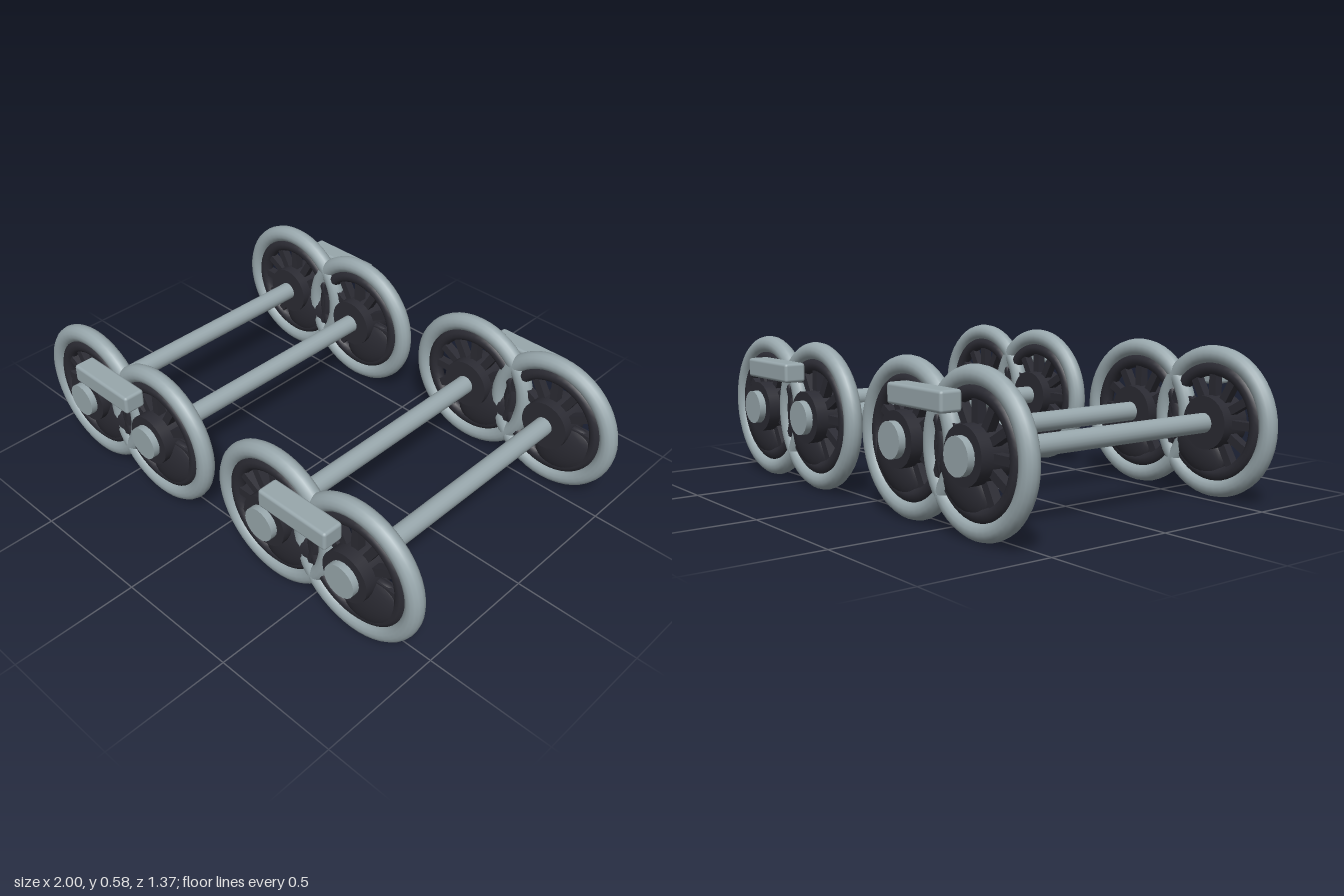
import * as THREE from 'three';
import { RoundedBoxGeometry } from 'three/addons/geometries/RoundedBoxGeometry.js';

const steel = new THREE.MeshStandardMaterial({ name: 'pale steel', color: 0x98a7ac });
const iron = new THREE.MeshStandardMaterial({ name: 'dark iron', color: 0x2b2b33 });

const R = 0.29; // wheel radius, also axle height
const WHEEL_Z = 0.562;
const SPOKES = 12;

function add(parent, name, geometry, material, x = 0, y = 0, z = 0) {
  const mesh = new THREE.Mesh(geometry, material);
  mesh.name = name;
  mesh.position.set(x, y, z);
  parent.add(mesh);
  return mesh;
}

// Cylinder lying along z
const rod = (r, length, sides) =>
  new THREE.CylinderGeometry(r, r, length, sides).rotateX(Math.PI / 2);

const geo = {
  tyre: new THREE.TorusGeometry(R - 0.035, 0.035, 14, 48),
  rim: new THREE.TorusGeometry(0.202, 0.028, 10, 48),
  hub: rod(0.102, 0.126, 24),
  cap: rod(0.067, 0.05, 20),
  spoke: new THREE.BoxGeometry(0.13, 0.032, 0.035).translate(0.135, 0, 0),
  weight: new THREE.SphereGeometry(1, 24, 16).scale(0.15, 0.1, 0.043),
  axle: rod(0.038, 1.04, 20),
  coupling: new RoundedBoxGeometry(0.318, 0.075, 0.087, 2, 0.012),
};

// Spoked wheel; side is the direction of its outer face along z
function makeWheel(side) {
  const wheel = new THREE.Group();
  wheel.name = 'wheel';
  add(wheel, 'tyre', geo.tyre, steel);
  add(wheel, 'innerRim', geo.rim, iron);
  add(wheel, 'hub', geo.hub, iron, 0, 0, side * 0.003);
  add(wheel, 'hubCap', geo.cap, steel, 0, 0, side * 0.068);
  for (let i = 0; i < SPOKES; i++) {
    add(wheel, 'spoke', geo.spoke, iron).rotation.z = (i / SPOKES) * Math.PI * 2;
  }
  // Oval counterweight low on one side
  add(wheel, 'counterweight', geo.weight, iron, 0.076, -0.099, 0).rotation.z = 0.65;
  return wheel;
}

// Two axles with overlapping wheels, joined by a short bar on each side
function makeBogie(x) {
  const bogie = new THREE.Group();
  bogie.name = 'bogie';
  bogie.position.set(x, R, 0);
  for (const dx of [-0.195, 0.195]) {
    add(bogie, 'axle', geo.axle, steel, dx);
    for (const side of [-1, 1]) {
      const wheel = makeWheel(side);
      wheel.position.set(dx, 0, side * WHEEL_Z);
      bogie.add(wheel);
    }
  }
  for (const side of [-1, 1]) {
    add(bogie, 'couplingBar', geo.coupling, steel, 0, 0.171, side * 0.642);
  }
  return bogie;
}

export function createModel() {
  const model = new THREE.Group();
  model.name = 'wheelsets';
  model.add(makeBogie(-0.516), makeBogie(0.516));
  return model;
}
